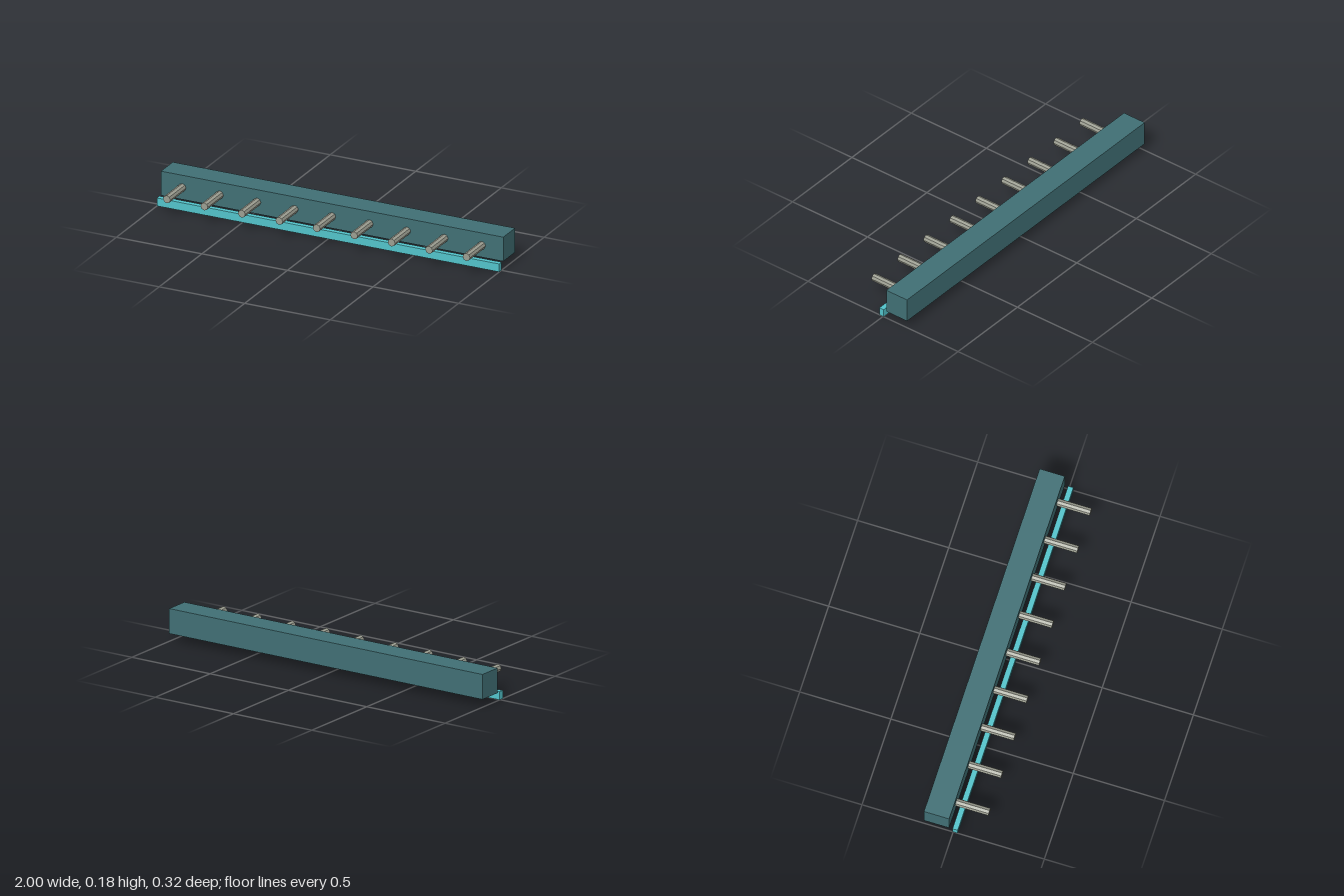
import * as THREE from 'three';

export function createModel() {
  const group = new THREE.Group();
  const beamTeal = new THREE.MeshStandardMaterial({ color: 0x406f74 });
  const stripCyan = new THREE.MeshStandardMaterial({ color: 0x52c3ca });
  const pegGrey = new THREE.MeshStandardMaterial({ color: 0x9c9e91 });

  const add = (name, geometry, material, x, y, z) => {
    const mesh = new THREE.Mesh(geometry, material);
    mesh.name = name;
    mesh.position.set(x, y, z);
    group.add(mesh);
  };

  // Long wall beam at the back
  add('beam', new THREE.BoxGeometry(2, 0.137, 0.138), beamTeal, 0, 0.111, -0.091);

  // Thin bright strip below the pegs
  add('strip', new THREE.BoxGeometry(2, 0.045, 0.029), stripCyan, 0, 0.0225, 0.0105);

  // Row of eight-sided pegs, each with a corner edge on top
  const pegCount = 9;
  const spacing = 0.2188;
  const pegGeometry = new THREE.CylinderGeometry(0.0215, 0.0215, 0.183, 8)
    .rotateX(Math.PI / 2)
    .toNonIndexed();
  pegGeometry.computeVertexNormals(); // flat facets
  for (let i = 0; i < pegCount; i++) {
    add('peg' + (i + 1), pegGeometry, pegGrey, (i - (pegCount - 1) / 2) * spacing, 0.111, 0.0685);
  }

  return group;
}
